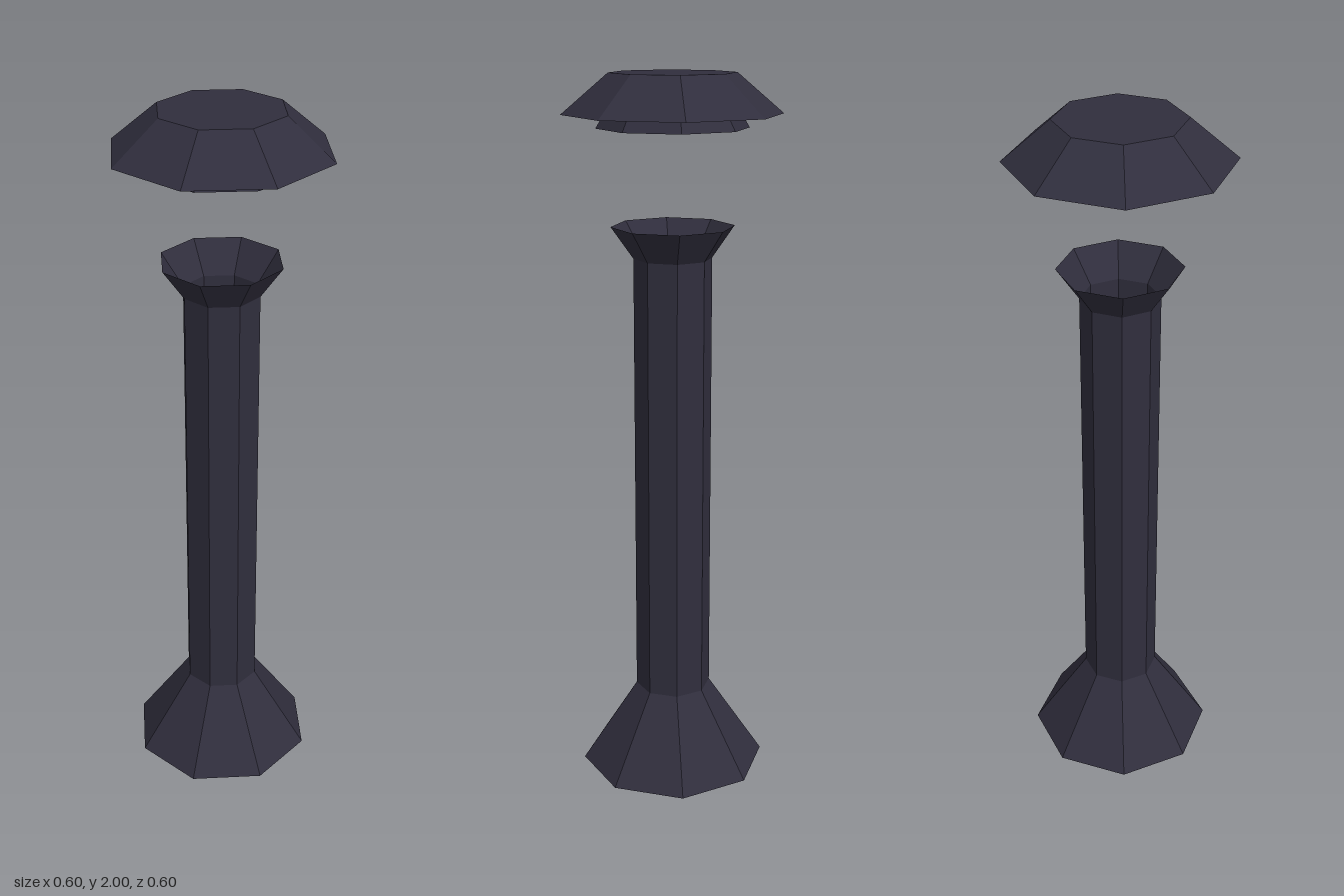
import * as THREE from 'three';

const SIDES = 8;

export function createModel() {
  const group = new THREE.Group();
  const darkMetal = new THREE.MeshStandardMaterial({
    color: 0x302e3d, flatShading: true, side: THREE.DoubleSide,
  });
  darkMetal.name = 'darkMetal';

  const add = (name, geometry) => {
    const flat = geometry.toNonIndexed();
    flat.computeVertexNormals();
    const mesh = new THREE.Mesh(flat, darkMetal);
    mesh.name = name;
    group.add(mesh);
    return mesh;
  };

  // Open eight-sided shell through [radius, height] points, bottom to top
  const shell = (name, ...profile) =>
    add(name, new THREE.LatheGeometry(profile.map(([r, y]) => new THREE.Vector2(r, y)), SIDES));

  // Hollow post
  shell('flaredBase', [0.267, 0], [0.108, 0.24]);
  shell('shaft', [0.108, 0.24], [0.108, 1.51]);
  shell('topCup', [0.108, 1.51], [0.169, 1.597]);

  // Floating cap: sloped roof, flat top and inner collar
  shell('capSlope', [0.298, 1.893], [0.171, 2]);
  const top = new THREE.CircleGeometry(0.171, SIDES);
  top.rotateX(-Math.PI / 2);
  add('capTop', top).position.y = 2;
  shell('capCollar', [0.206, 1.857], [0.12, 1.998]);

  return group;
}
